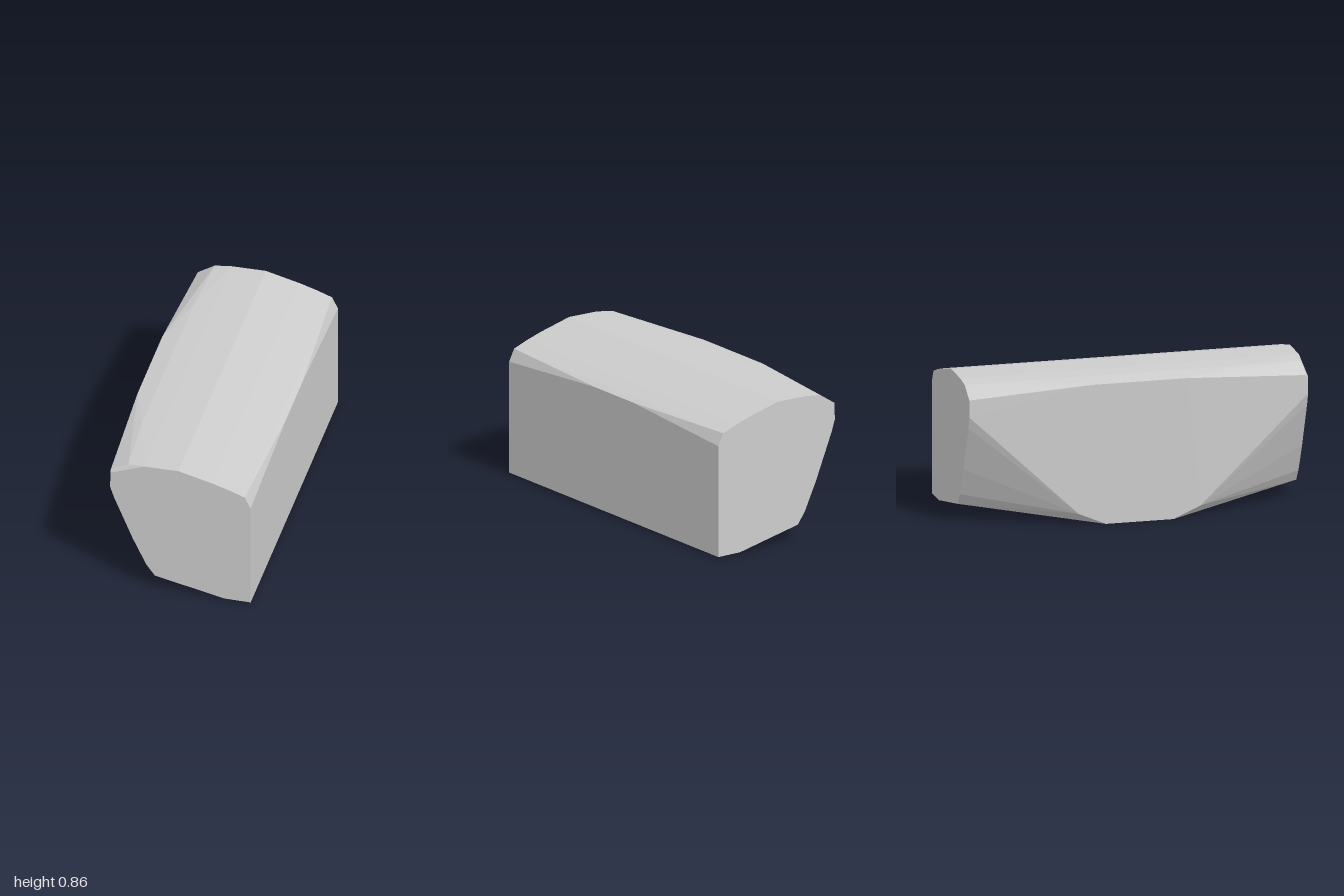
import * as THREE from 'three';
import { ConvexGeometry } from 'three/addons/geometries/ConvexGeometry.js';

export function createModel() {
  const group = new THREE.Group();
  const stone = new THREE.MeshStandardMaterial({ color: 0xcccccc });
  stone.name = 'pale grey';

  // Outline shared by both flat ends (x, y)
  const endProfile = [
    [0.425, 0.012], [0.27, 0.012], [-0.14, 0.10], [-0.19, 0.17], [-0.27, 0.34],
    [-0.38, 0.61], [-0.403, 0.68], [-0.4, 0.78], [-0.2, 0.858], [0, 0.862],
    [0.2, 0.811], [0.3, 0.78], [0.39, 0.746], [0.425, 0.675],
  ];
  // Fuller middle of the block, mirrored front to back (x, y, z)
  const middle = [
    [-0.425, 0, 0.2], [-0.425, 0.07, 0.36], [-0.425, 0.828, 0.28],
    [-0.32, 0.851, 0.6], [0.425, 0.73, 0.18],
  ];

  const points = [];
  for (const side of [-1, 1]) {
    for (const [x, y] of endProfile) points.push(new THREE.Vector3(x, y, side));
    for (const [x, y, z] of middle) points.push(new THREE.Vector3(x, y, z * side));
  }
  // Upper corners: sharp at the back, slightly chipped at the front
  points.push(new THREE.Vector3(-0.3, 0.845, -1));
  points.push(new THREE.Vector3(-0.3, 0.846, 0.985), new THREE.Vector3(-0.403, 0.79, 0.985));

  const block = new THREE.Mesh(new ConvexGeometry(points), stone);
  block.name = 'block';
  group.add(block);
  return group;
}
